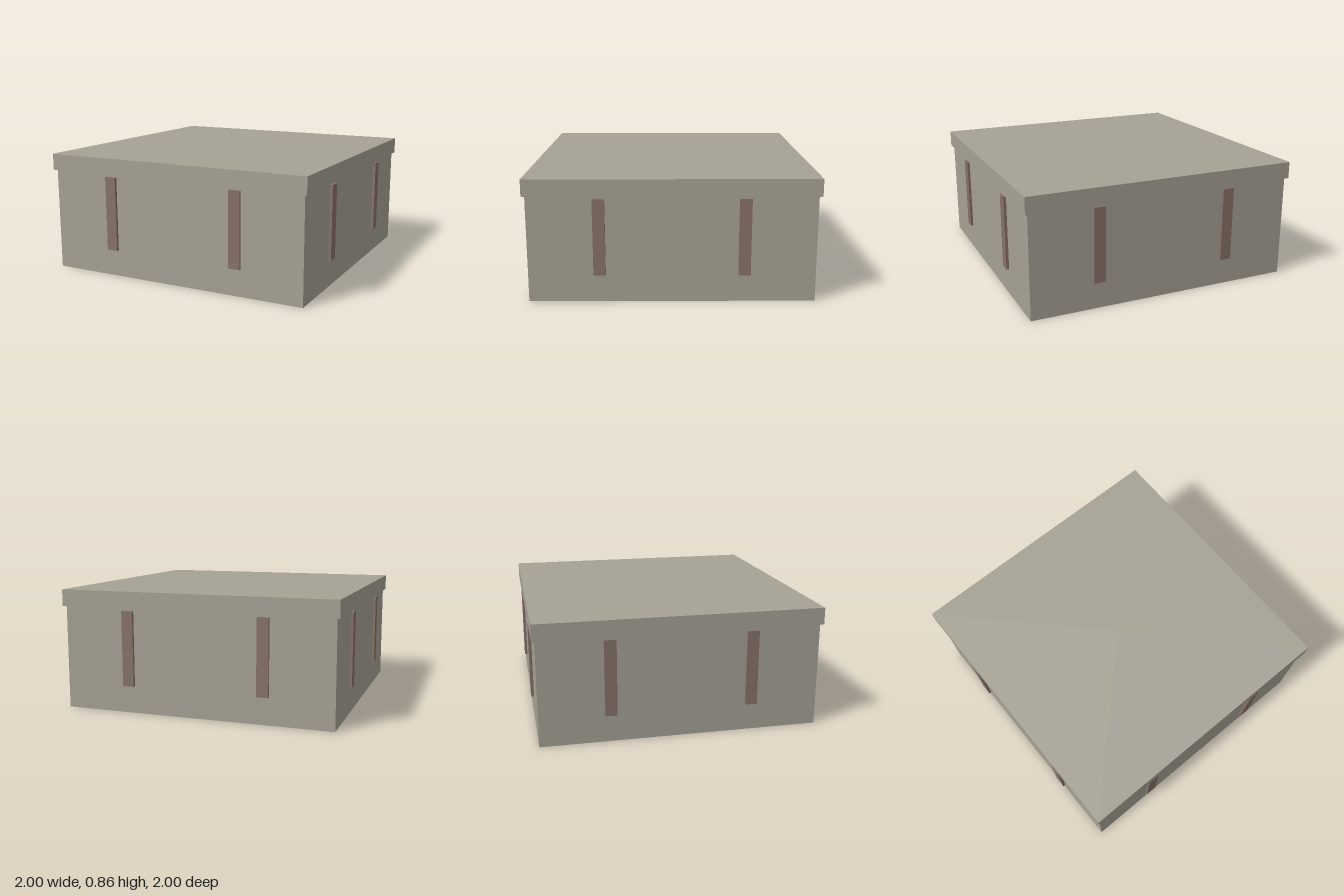
import * as THREE from 'three';

const stone = new THREE.MeshStandardMaterial({ color: 0xa6a194, side: THREE.DoubleSide });
stone.name = 'stone';
const wood = new THREE.MeshStandardMaterial({ color: 0x877268 });
wood.name = 'wood';

const WALL = 0.98;  // half width of the walls
const HALF = 1;     // half width of the roof slab
const EAVE = 0.74;
const TOP = 0.86;

// Square shell swept from a profile of [half width, height] points.
function squareShell(name, profile) {
  const points = profile.map(([r, y]) => new THREE.Vector2(r * Math.SQRT2, y));
  const geometry = new THREE.LatheGeometry(points, 4, Math.PI / 4).toNonIndexed();
  geometry.computeVertexNormals();
  const mesh = new THREE.Mesh(geometry, stone);
  mesh.name = name;
  return mesh;
}

export function createModel() {
  const model = new THREE.Group();
  model.name = 'building';

  // Thin walls, open underneath
  model.add(squareShell('walls', [[WALL, 0], [WALL, EAVE]]));

  // Hollow roof slab with a narrow overhang
  model.add(squareShell('roof', [[WALL, EAVE], [HALF, EAVE], [HALF, TOP], [0, TOP]]));

  // Two upright strips on each of the four sides
  const low = 0.192, high = 0.725, back = WALL + 0.001;
  const stripGeometry = new THREE.BoxGeometry(0.083, high - low, HALF - back);
  for (let side = 0; side < 4; side++) {
    const strips = new THREE.Group();
    strips.name = ['frontStrips', 'leftStrips', 'backStrips', 'rightStrips'][side];
    strips.rotation.y = side * Math.PI / 2;
    for (const x of [-0.492, 0.492]) {
      const strip = new THREE.Mesh(stripGeometry, wood);
      strip.name = 'strip';
      strip.position.set(x, (low + high) / 2, (back + HALF) / 2);
      strips.add(strip);
    }
    model.add(strips);
  }
  return model;
}
